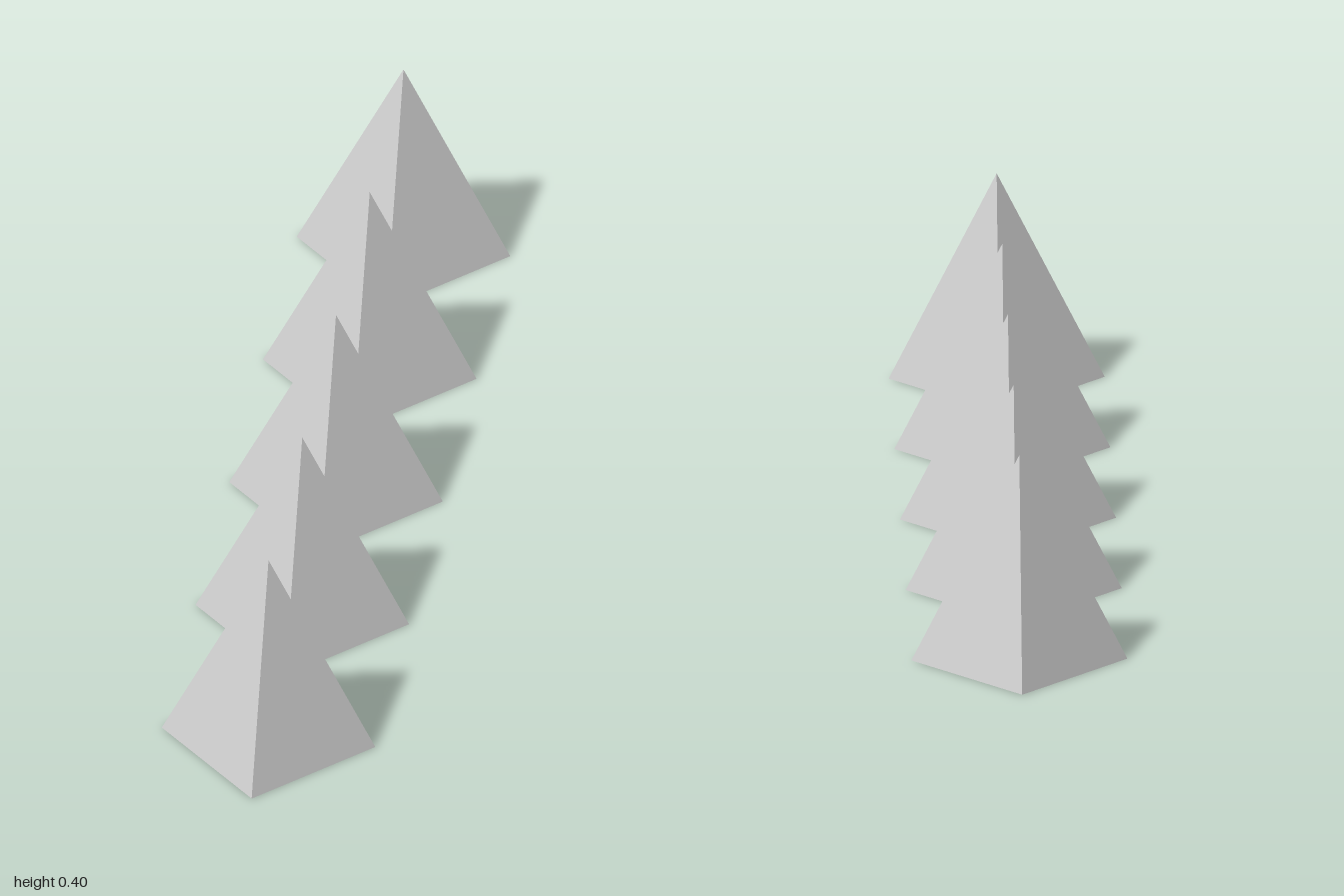
import * as THREE from 'three';

const COUNT = 5;
const RADIUS = 0.2;
const HEIGHT = 0.4;

export function createModel() {
  const model = new THREE.Group();
  model.name = 'spikeRow';

  const material = new THREE.MeshStandardMaterial({
    color: 0xcccccc,
    flatShading: true,
    side: THREE.DoubleSide,
  });

  // Hollow four-sided spike, open underneath, with its corners on the x and z axes
  const geometry = new THREE.ConeGeometry(RADIUS, HEIGHT, 4, 1, true);
  geometry.translate(0, HEIGHT / 2, 0);

  // Row of spikes touching corner to corner, from front to back
  for (let i = 0; i < COUNT; i++) {
    const spike = new THREE.Mesh(geometry, material);
    spike.name = `spike${i + 1}`;
    spike.position.z = ((COUNT - 1) / 2 - i) * 2 * RADIUS;
    model.add(spike);
  }

  return model;
}
